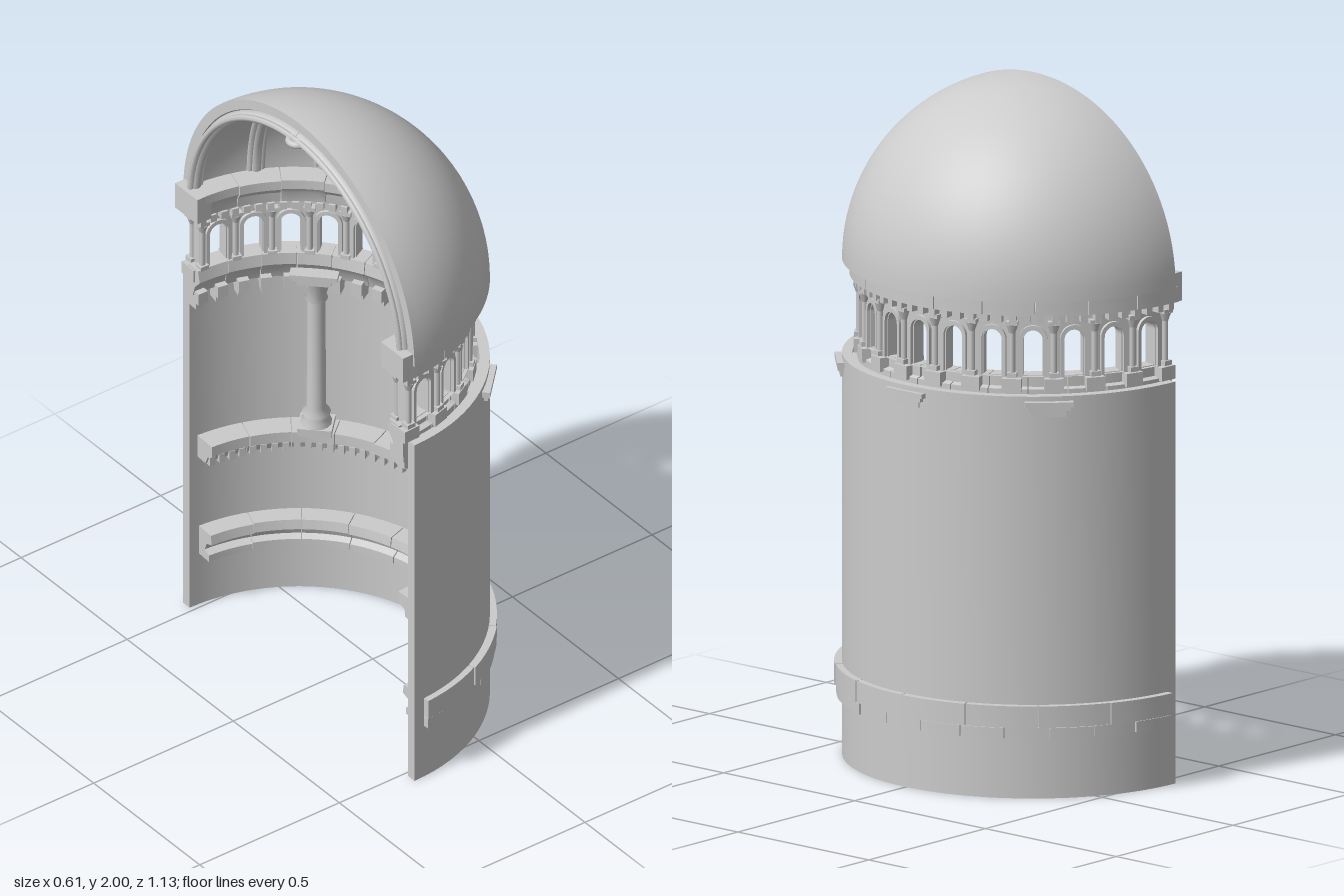
import * as THREE from 'three';
import { mergeGeometries, toCreasedNormals } from 'three/addons/utils/BufferGeometryUtils.js';

const material = new THREE.MeshStandardMaterial({ color: 0xcccccc, side: THREE.DoubleSide });
const OUTER_X = -0.265; // axis of wall and dome
const INNER_X = -0.285; // axis of the carved inner stonework
const deg = Math.PI / 180;

let seed = 7;
const rand = () => (seed = (seed * 16807) % 2147483647) / 2147483647;

// Sweep a closed (radius, y) profile round the axis; phi 0 is +z, 90 is +x, 180 is -z
function sector(profile, from = 0, to = 180, segments = 48) {
  const pts = profile.map(([r, y]) => new THREE.Vector2(r, y));
  const lathe = new THREE.LatheGeometry([...pts, pts[0]], segments, from * deg, (to - from) * deg);
  const caps = [from, to].map((a) =>
    new THREE.ShapeGeometry(new THREE.Shape(pts)).rotateY(-Math.PI / 2 + a * deg));
  return toCreasedNormals(mergeGeometries([lathe, ...caps].map((g) => g.toNonIndexed())), 0.5);
}
const rect = (r0, r1, y0, y1) => [[r0, y0], [r1, y0], [r1, y1], [r0, y1]];

// A ring of separate stones with narrow joints and slightly uneven faces
function stones(count, from, to, profileAt) {
  const step = (to - from) / count, list = [];
  for (let i = 0; i < count; i++) {
    const a = from + i * step;
    list.push(sector(profileAt((rand() - 0.5) * 0.008), a + 0.15, a + step - 0.15, 6));
  }
  return mergeGeometries(list);
}

// Copy a geometry modelled facing +z at radius r to several angles round the axis
const around = (geometry, r, angles) => mergeGeometries(angles.map((a) =>
  geometry.clone().translate(0, 0, r).rotateY(a * deg)));
const spread = (count, from, to) =>
  Array.from({ length: count }, (_, i) => from + (to - from) * i / (count - 1));
const box = (w, h, d, y, z = 0) => new THREE.BoxGeometry(w, h, d).translate(0, y, z);

// Outline of a round-headed opening
function archPath(path, halfWidth, y0, spring) {
  path.moveTo(-halfWidth, y0);
  path.lineTo(halfWidth, y0);
  path.lineTo(halfWidth, spring);
  path.absarc(0, spring, halfWidth, 0, Math.PI, false);
  path.lineTo(-halfWidth, y0);
  return path;
}

export function createModel() {
  const model = new THREE.Group();
  const add = (name, geometry, x = INNER_X) => {
    const mesh = new THREE.Mesh(geometry, material);
    mesh.name = name;
    mesh.position.x = x;
    model.add(mesh);
  };

  // Half-round wall
  add('wall', sector(rect(0.515, 0.545, 0, 1.18)), OUTER_X);

  // Half dome shell
  const dome = [];
  for (let i = 0; i <= 28; i++) {
    const t = i / 28 * Math.PI / 2;
    dome.push([0.545 * Math.cos(t), 1.455 + 0.545 * Math.sin(t)]);
  }
  for (let i = 28; i >= 0; i--) {
    const t = i / 28 * Math.PI / 2;
    dome.push([0.515 * Math.cos(t), 1.455 + 0.515 * Math.sin(t)]);
  }
  add('dome', sector(dome, 0, 180, 64), OUTER_X);

  // Plinth band outside, moulded bench inside
  add('plinthUpperCourse', stones(8, 3.5, 176.5, (j) => rect(0.54, 0.566 + j / 2, 0.212, 0.275)), OUTER_X);
  add('plinthLowerCourse', stones(13, 3.5, 176.5, (j) => rect(0.54, 0.56 + j, 0.178, 0.21)), OUTER_X);
  add('innerBench', stones(10, 3.5, 176.5, (j) => [
    [0.52, 0.178], [0.52, 0.275], [0.455 + j, 0.275], [0.45 + j, 0.245], [0.475, 0.235], [0.485, 0.21], [0.465 + j, 0.2], [0.465 + j, 0.178],
  ]), OUTER_X);

  // String course below the columns, with dentils
  add('stringCourse', stones(11, 3, 177, (j) => [
    [0.52, 0.52], [0.52, 0.595], [0.44 + j, 0.595], [0.44 + j, 0.56], [0.465, 0.545], [0.475, 0.52],
  ]), OUTER_X);
  add('stringDentils', around(box(0.018, 0.03, 0.05, 0.53), 0.485, spread(44, 5, 175)), OUTER_X);

  // Wall columns with bases and capitals that pass through the wall
  const shaftProfile = [[0.045, 0.595], [0.045, 0.62], [0.036, 0.635], [0.042, 0.65], [0.028, 0.67],
    [0.026, 1.04], [0.034, 1.05], [0.028, 1.06], [0.045, 1.12]];
  const column = mergeGeometries([
    new THREE.LatheGeometry(shaftProfile.map(([r, y]) => new THREE.Vector2(r, y)), 14),
    box(0.1, 0.025, 0.09, 0.6),
    box(0.1, 0.02, 0.13, 1.132, 0.015),
    box(0.125, 0.012, 0.145, 1.147, 0.015),
    box(0.14, 0.014, 0.155, 1.159, 0.012),
  ]);
  add('wallColumns', around(column, 0.487, [45, 90, 135]));

  // Gallery sill with hanging corbels
  add('gallerySill', stones(14, 0, 180, (j) => [
    [0.515, 1.13], [0.515, 1.19], [0.5 + j, 1.195], [0.5 + j, 1.228], [0.45, 1.228], [0.445 + j, 1.19], [0.465, 1.165], [0.475, 1.13],
  ]));
  add('sillBlocks', around(box(0.055, 0.04, 0.06, 1.202), 0.495, spread(14, 3, 177)));
  const corbel = mergeGeometries([box(0.032, 0.04, 0.06, 1.125), box(0.024, 0.03, 0.04, 1.095, 0.01)]);
  add('sillCorbels', around(corbel, 0.48, spread(22, 2.5, 177.5)));

  // Arcade: thirteen round-headed windows
  const windows = spread(13, 90 - 80.4, 90 + 80.4);
  const panelShape = new THREE.Shape([[-0.0605, 1.222], [0.0605, 1.222], [0.0605, 1.415], [-0.0605, 1.415]]
    .map(([x, y]) => new THREE.Vector2(x, y)));
  panelShape.holes.push(archPath(new THREE.Path(), 0.027, 1.225, 1.333));
  const panel = new THREE.ExtrudeGeometry(panelShape, { depth: 0.036, bevelEnabled: false, curveSegments: 10 });
  add('arcadePanels', around(panel, 0.465, windows));

  // Raised surrounds on both faces of each window
  const surroundShape = archPath(new THREE.Shape(), 0.041, 1.225, 1.335);
  surroundShape.holes.push(archPath(new THREE.Path(), 0.03, 1.226, 1.333));
  const surround = new THREE.ExtrudeGeometry(surroundShape, { depth: 0.056, bevelEnabled: false, curveSegments: 10 });
  add('windowSurrounds', around(surround, 0.455, windows));

  // Colonnettes between the windows, inside and out
  const colonnette = mergeGeometries([
    new THREE.CylinderGeometry(0.009, 0.009, 0.13, 8).translate(0, 1.295, 0),
    new THREE.CylinderGeometry(0.018, 0.009, 0.025, 8).translate(0, 1.367, 0),
    box(0.034, 0.012, 0.03, 1.384),
    box(0.028, 0.014, 0.028, 1.232),
  ]);
  const piers = spread(14, 90 - 87.1, 90 + 87.1);
  add('outerColonnettes', around(colonnette, 0.51, piers));
  add('innerColonnettes', around(colonnette, 0.46, piers));

  // Dentils and cornice under the dome
  add('corniceDentils', around(box(0.02, 0.024, 0.085, 1.399), 0.485, spread(40, 2, 178)));
  add('cornice', stones(11, 0, 180, (j) => [
    [0.45, 1.41], [0.538 + j / 2, 1.41], [0.538 + j / 2, 1.455], [0.512, 1.46], [0.5, 1.495],
    [0.43 + j, 1.495], [0.43 + j, 1.465], [0.445, 1.445],
  ]));
  // Square blocks ending the cornice at the open side
  for (const s of [1, -1]) {
    const end = new THREE.BoxGeometry(0.05, 0.085, 0.105).translate(0.01, 1.453, s * 0.485);
    add(s > 0 ? 'corniceEndLeft' : 'corniceEndRight', end);
  }

  // Ribs of the vault meeting at a boss
  const ribCurve = new THREE.CatmullRomCurve3(spread(13, 4, 90).map((a) =>
    new THREE.Vector3(0, 1.455 + 0.495 * Math.sin(a * deg), 0.495 * Math.cos(a * deg))));
  const rib = mergeGeometries([
    new THREE.TubeGeometry(ribCurve, 24, 0.017, 8),
    new THREE.TubeGeometry(ribCurve, 24, 0.01, 6).translate(0.017, 0, 0),
    new THREE.TubeGeometry(ribCurve, 24, 0.01, 6).translate(-0.017, 0, 0),
  ]);
  add('vaultRibs', around(rib, 0, spread(9, 0, 180)), -0.262);
  const boss = mergeGeometries([
    new THREE.TorusGeometry(0.026, 0.011, 8, 20).rotateX(Math.PI / 2).translate(0, 1.942, 0),
    new THREE.SphereGeometry(0.018, 12, 8).translate(0, 1.936, 0),
  ]);
  add('vaultBoss', boss, -0.268);

  return model;
}
